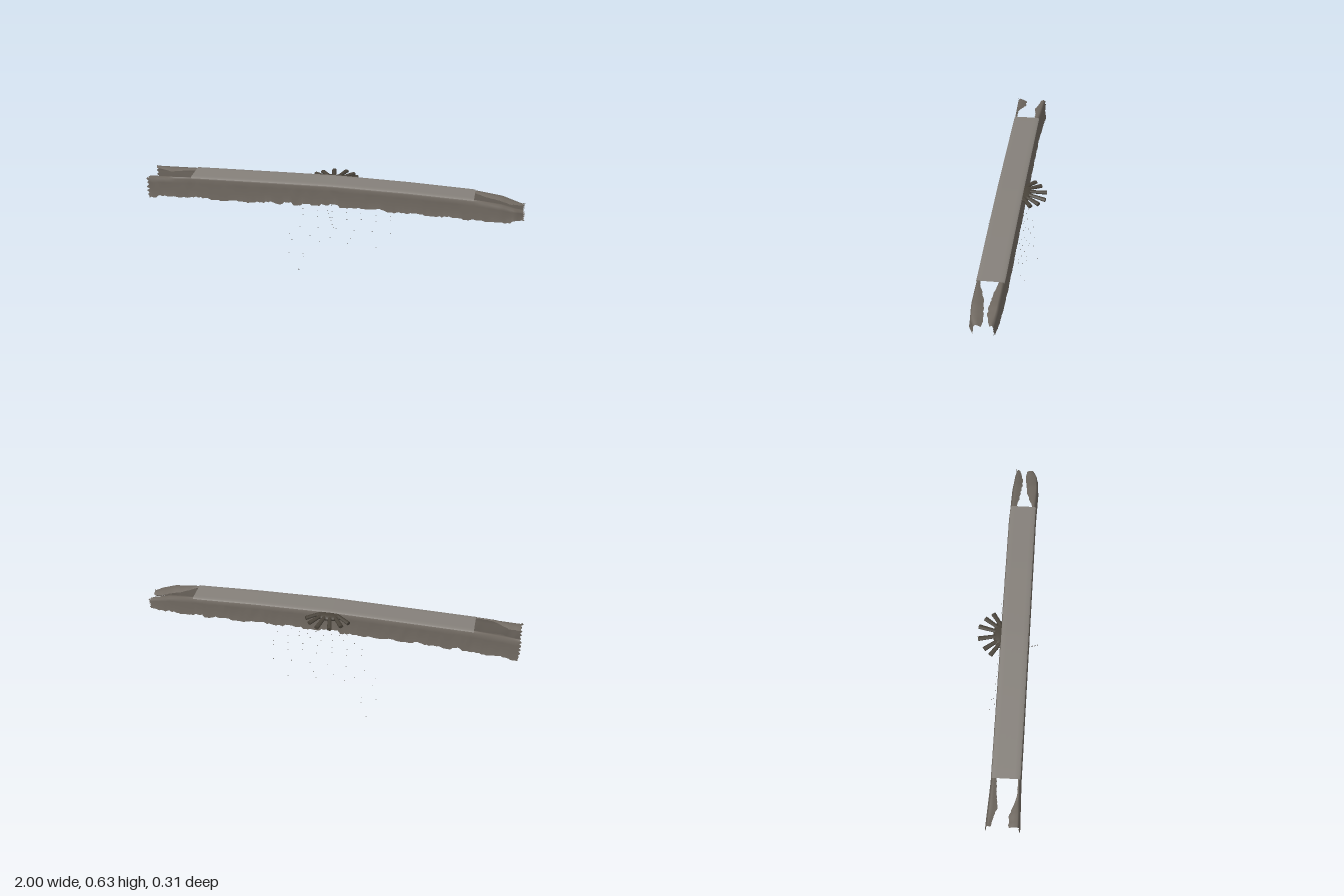
import * as THREE from 'three';

// Repeatable value in 0..1 for ragged edges
const noise = (n) => {
  const s = Math.sin(n * 127.1 + 11.7) * 43758.5453;
  return s - Math.floor(s);
};

// Piecewise linear curve through [x, value] points
const curve = (pts) => (x) => {
  for (let i = 1; i < pts.length; i++) {
    if (x <= pts[i][0]) {
      const [a, va] = pts[i - 1], [b, vb] = pts[i];
      return THREE.MathUtils.lerp(va, vb, Math.max(0, (x - a) / (b - a)));
    }
  }
  return pts[pts.length - 1][1];
};

const material = (color) => new THREE.MeshStandardMaterial({ color, side: THREE.DoubleSide });
const stone = material(0x6e675f);
const pale = material(0x85807a);
const dark = material(0x4a443b);

// Open sheet lofted through cross-sections; section(i) returns [x, y, z] points
function sheet(name, count, section, mat) {
  const positions = [], index = [];
  let n = 0;
  for (let i = 0; i <= count; i++) {
    const pts = section(i);
    n = pts.length;
    pts.forEach((p) => positions.push(...p));
    if (i === 0) continue;
    for (let j = 0; j < n - 1; j++) {
      const a = (i - 1) * n + j, b = i * n + j;
      index.push(a, b, a + 1, b, b + 1, a + 1);
    }
  }
  const g = new THREE.BufferGeometry();
  g.setAttribute('position', new THREE.Float32BufferAttribute(positions, 3));
  g.setIndex(index);
  g.computeVertexNormals();
  const mesh = new THREE.Mesh(g, mat);
  mesh.name = name;
  return mesh;
}

// Long outlines of the channel
const topY = curve([[-1, 0.6], [-0.75, 0.612], [-0.3, 0.622], [0, 0.628], [0.4, 0.622], [0.75, 0.61], [0.88, 0.595], [1, 0.56]]);
const bottomY = curve([[-1, 0.485], [-0.6, 0.497], [0, 0.515], [0.5, 0.508], [1, 0.505]]);
const frontZ = curve([[-1, 0.106], [-0.75, 0.101], [0, 0.107], [0.7, 0.112], [0.87, 0.118], [0.95, 0.112], [1, 0.088]]);
const backZ = curve([[-1, -0.058], [-0.75, -0.042], [0, -0.033], [0.7, -0.024], [0.9, -0.014], [1, 0]]);
const frontLip = curve([[-1, 0.053], [-0.93, 0.05], [-0.85, 0.016], [-0.75, 0.012], [0.74, 0.02], [0.85, 0.058], [0.95, 0.062], [1, 0.03]]);
const backLip = curve([[-1, 0.022], [-0.9, 0.045], [-0.75, 0.025], [0.72, 0.025], [0.8, 0.042], [0.92, 0.05], [1, 0.012]]);

// Side wall with a ragged lower edge and a lip that curls inwards
function wall(name, outer, lip, dir, seed) {
  const count = 160;
  return sheet(name, count, (i) => {
    const rag = noise(i + seed), wave = noise(Math.floor(i / 4) + seed * 3);
    const x = -0.99 + (1.98 * i) / count;
    const yt = topY(x), yb = bottomY(x) + 0.008 * (rag - 0.5) + 0.018 * (wave - 0.5);
    const z = outer(x), l = lip(x), h = yt - yb;
    const bump = 0.004 * (noise(Math.floor(i / 3) + seed) - 0.5);
    return [
      [x, yb, z + dir * 0.006],
      [x, yb + h * 0.35, z + dir * bump],
      [x, yb + h * 0.7, z],
      [x, yt - 0.012, z - dir * 0.002],
      [x, yt - 0.002, z - dir * Math.min(0.01, l * 0.4)],
      [x, yt - 0.15 * l, z - dir * l * 0.6],
      [x, yt - 0.35 * l, z - dir * (l + 0.006 * (rag - 0.5))],
    ];
  }, stone);
}

// Torn strips projecting from both ends of a wall
function endStrips(outer, dir, seed) {
  const group = new THREE.Group();
  group.name = 'tornEnds';
  for (const side of [-1, 1]) {
    for (let k = 0; k < 5; k++) {
      const x0 = side * 0.99, x1 = side * (0.992 + 0.008 * noise(seed + k * 2 + side));
      const yt = topY(x0), h = (yt - bottomY(x0)) / 5;
      const y = yt - h * (k + 0.5), z = outer(x0);
      group.add(sheet('tornStrip', 1, (i) => {
        const half = h * (i ? 0.12 : 0.45);
        return [[i ? x1 : x0, y - half, z + dir * 0.002], [i ? x1 : x0, y + half, z]];
      }, stone));
    }
  }
  return group;
}

export function createModel() {
  const model = new THREE.Group();
  model.name = 'raggedSpan';

  model.add(wall('frontWall', frontZ, frontLip, 1, 3));
  model.add(wall('backWall', backZ, backLip, -1, 41));
  model.add(endStrips(frontZ, 1, 5), endStrips(backZ, -1, 23));

  // Deck with squarely cut ends
  model.add(sheet('deck', 60, (i) => {
    const x = -0.755 + (1.495 * i) / 60, y = topY(x), f = frontZ(x), b = backZ(x);
    return [0, 0.06, 0.2, 0.4, 0.6, 0.8, 0.94, 1].map((t) => {
      const edge = Math.abs(t - 0.5) > 0.49 ? 0.006 : 0;
      return [x, y + 0.002 - edge, THREE.MathUtils.lerp(f, b, t)];
    });
  }, pale));

  // Fan of blunt fingers behind the middle
  const fan = new THREE.Group();
  fan.name = 'rearFan';
  const fingers = [[-0.95, 0.105], [-0.6, 0.115], [-0.16, 0.13], [0.27, 0.132], [0.62, 0.118], [0.98, 0.1]];
  fingers.forEach(([angle, length], k) => {
    const g = new THREE.CylinderGeometry(0.013, 0.009, length, 7, 3);
    g.scale(1, 1, 0.75);
    g.rotateX(-Math.PI / 2);
    g.translate(0, 0, -length / 2);
    const finger = new THREE.Mesh(g, dark);
    finger.name = 'fanFinger';
    finger.rotation.set(-0.1, -angle, 0, 'YXZ');
    finger.position.set(0.012 * (k - 2.5), 0.615, -0.024);
    fan.add(finger);
  });
  const root = new THREE.Mesh(new THREE.SphereGeometry(1, 14, 8), dark);
  root.name = 'fanRoot';
  root.scale.set(0.075, 0.016, 0.035);
  root.position.set(0, 0.606, -0.04);
  fan.add(root);
  model.add(fan);

  // Loose flakes in spreading rows below the span
  const flakes = new THREE.Group();
  flakes.name = 'looseFlakes';
  const flakeShape = new THREE.TetrahedronGeometry(0.004);
  const addFlake = (x, y, z) => {
    const flake = new THREE.Mesh(flakeShape, dark);
    flake.name = 'flake';
    flake.position.set(x, y, z);
    flake.scale.set(1.4, 0.6, 0.5);
    flakes.add(flake);
  };
  const rows = [[0.48, -0.1, 0.2, 8], [0.45, -0.14, 0.28, 8], [0.41, -0.18, 0.3, 7], [0.37, -0.18, 0.3, 7],
    [0.3, -0.2, 0.3, 6], [0.24, -0.26, 0.08, 4], [0.2, -0.25, 0.22, 4], [0.11, -0.27, -0.19, 2]];
  rows.forEach(([y, a, b, n], r) => {
    for (let k = 0; k < n; k++) {
      const j = noise(r * 17 + k) - 0.5;
      addFlake(THREE.MathUtils.lerp(a, b, k / (n - 1)), y + 0.02 * j, -0.026 - 0.12 * (0.5 - y) + 0.008 * j);
    }
  });
  addFlake(-0.19, 0.09, -0.079);
  addFlake(-0.22, 0.003, -0.09);
  for (let k = 0; k < 6; k++) addFlake(0.008 * (k - 2), 0.49 - 0.016 * k, 0.115 + 0.008 * k);
  model.add(flakes);

  return model;
}
